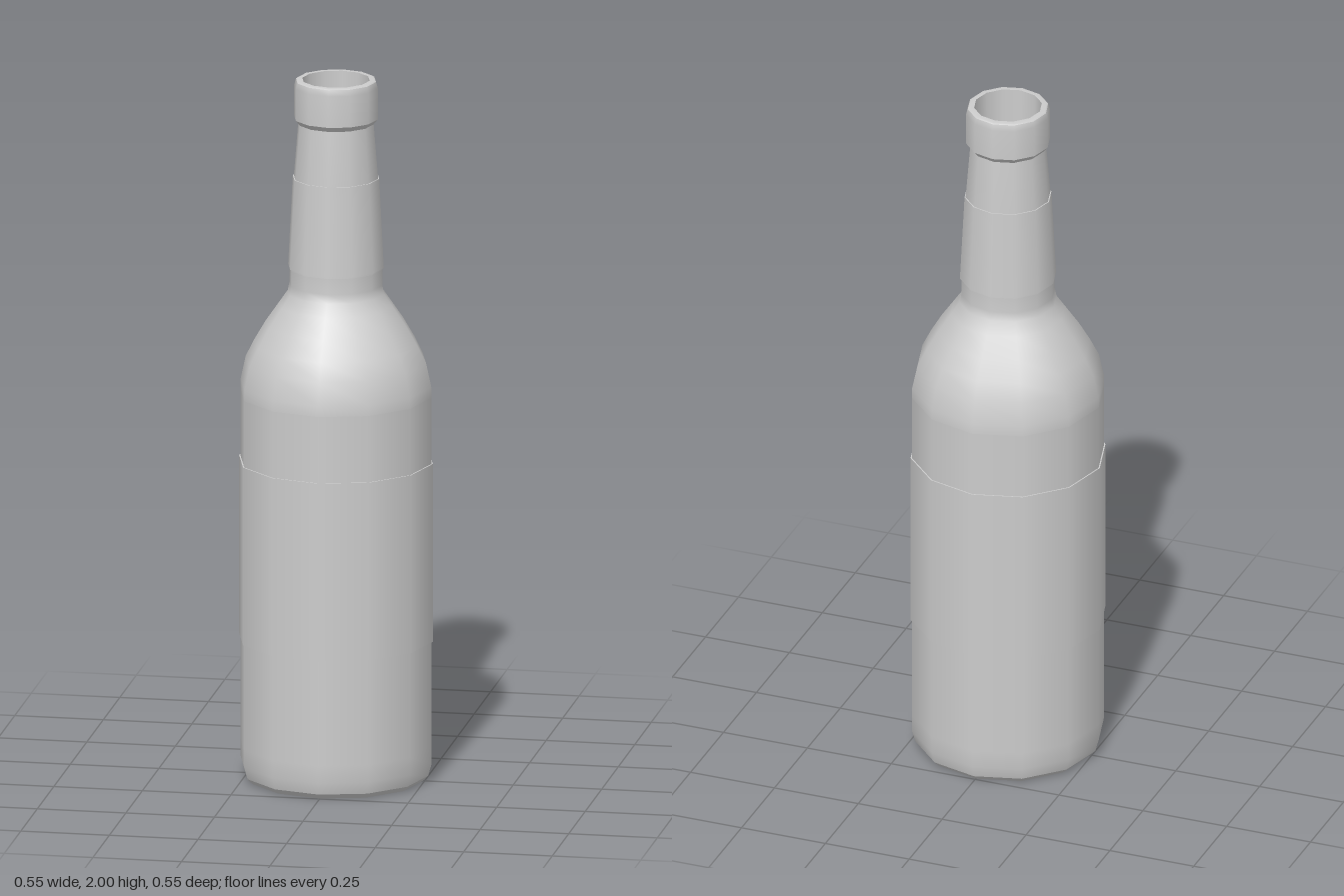
import * as THREE from 'three';

const SIDES = 12;

export function createModel() {
  const bottle = new THREE.Group();
  bottle.name = 'bottle';
  const grey = new THREE.MeshStandardMaterial({ color: 0xcccccc });
  grey.name = 'plain grey';

  // Turn a [radius, height] profile; smooth within a part, sharp between parts
  const turn = (name, profile) => {
    const points = profile.map(([r, y]) => new THREE.Vector2(r, y));
    const mesh = new THREE.Mesh(new THREE.LatheGeometry(points, SIDES), grey);
    mesh.name = name;
    bottle.add(mesh);
  };

  // Glass
  turn('base', [[0, 0], [0.245, 0]]);
  turn('baseRim', [[0.245, 0], [0.26, 0.015]]);
  turn('body', [[0.26, 0.015], [0.27, 0.05], [0.27, 0.1], [0.27, 1.1]]);
  turn('shoulder', [
    [0.27, 1.1], [0.269, 1.13], [0.255, 1.195], [0.23, 1.245],
    [0.198, 1.3], [0.16, 1.355], [0.136, 1.39], [0.131, 1.415], [0.131, 1.46],
  ]);
  turn('neck', [[0.131, 1.46], [0.119, 1.72], [0.106, 1.88]]);

  // Mouth
  turn('lipUnderside', [[0.106, 1.875], [0.118, 1.89]]);
  turn('lip', [[0.118, 1.89], [0.118, 1.98], [0.113, 1.997]]);
  turn('lipTop', [[0.113, 1.997], [0.109, 2], [0.095, 2]]);
  turn('mouthWall', [[0.095, 2], [0.093, 1.88]]);
  turn('mouthFloor', [[0.093, 1.88], [0, 1.88]]);

  // Paper wraps, just proud of the glass
  turn('bodyLabel', [[0.269, 0.4], [0.2735, 0.4]]);
  turn('bodyLabelFace', [[0.2735, 0.4], [0.2735, 0.91]]);
  turn('bodyLabelTop', [[0.2735, 0.91], [0.269, 0.91]]);
  turn('neckLabelBottom', [[0.13, 1.465], [0.135, 1.465]]);
  turn('neckLabelFace', [[0.135, 1.465], [0.122, 1.72]]);
  turn('neckLabelTop', [[0.122, 1.72], [0.118, 1.72]]);

  return bottle;
}
